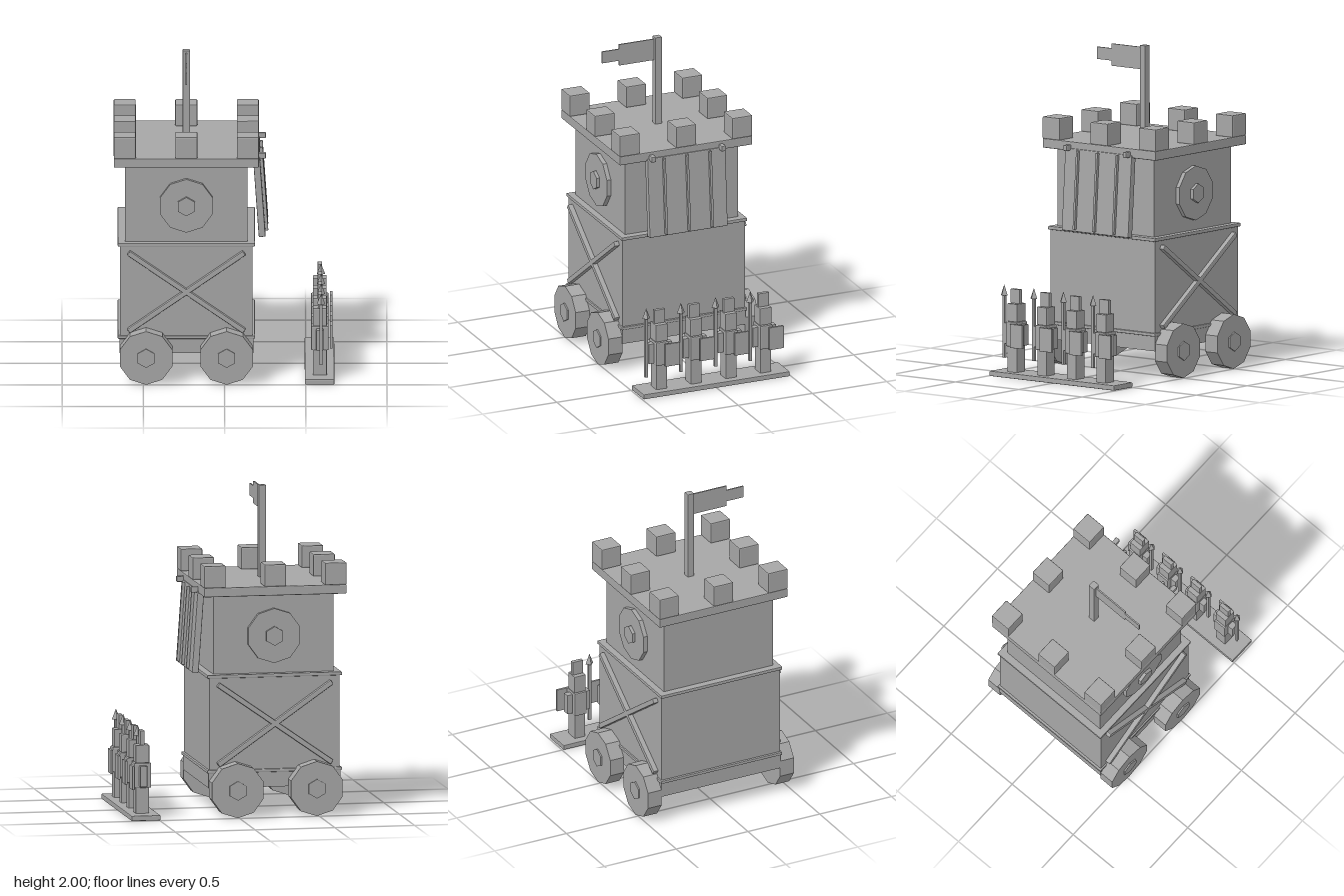
import * as THREE from 'three';
import { RoundedBoxGeometry } from 'three/addons/geometries/RoundedBoxGeometry.js';

const stone = new THREE.MeshStandardMaterial({ color: 0xa6a6a6, flatShading: true });
stone.name = 'plain grey';

const CX = -0.235; // tower axis

function add(parent, name, geometry, x, y, z) {
  const mesh = new THREE.Mesh(geometry, stone);
  mesh.name = name;
  mesh.position.set(x, y, z);
  parent.add(mesh);
  return mesh;
}

// Box given by its size, centre x/z and bottom y; optional chamfer
function box(parent, name, w, h, d, x, y, z, bevel = 0) {
  const g = bevel ? new RoundedBoxGeometry(w, h, d, 1, bevel) : new THREE.BoxGeometry(w, h, d);
  return add(parent, name, g, x, y + h / 2, z);
}

// Ten-sided disc with a six-sided hub, facing +z or -z
function disc(parent, name, x, y, side, inner, outer, hubOut) {
  const group = new THREE.Group();
  group.name = name;
  const plate = new THREE.CylinderGeometry(0.17, 0.17, outer - inner, 10).rotateX(Math.PI / 2);
  const hub = new THREE.CylinderGeometry(0.06, 0.06, hubOut - inner, 6).rotateX(Math.PI / 2);
  add(group, name + 'Rim', plate, x, y, side * (inner + outer) / 2);
  add(group, name + 'Hub', hub, x, y, side * (inner + hubOut) / 2);
  parent.add(group);
}

function buildTower() {
  const tower = new THREE.Group();
  tower.name = 'tower';
  box(tower, 'chassis', 0.825, 0.1, 0.83, CX, 0.18, 0);
  box(tower, 'lowerTrim', 0.845, 0.02, 0.845, CX, 0.272, 0, 0.005);
  box(tower, 'lowerBody', 0.815, 0.58, 0.825, CX, 0.285, 0);
  box(tower, 'upperTrim', 0.845, 0.022, 0.845, CX, 0.862, 0, 0.005);
  box(tower, 'upperBody', 0.755, 0.5, 0.762, CX, 0.875, 0);
  box(tower, 'roofSlab', 0.893, 0.058, 0.893, CX, 1.372, 0, 0.006);

  // Merlons round the edge of the roof
  for (const i of [-1, 0, 1]) {
    for (const j of [-1, 0, 1]) {
      if (i || j) box(tower, 'merlon', 0.136, 0.138, 0.136, CX + i * 0.379, 1.428, j * 0.379, 0.007);
    }
  }

  for (const side of [-1, 1]) {
    // Crossed braces
    for (const tilt of [-1, 1]) {
      const brace = box(tower, 'crossBrace', 0.87, 0.032, 0.035, CX, 0.559, side * 0.4275, 0.006);
      brace.rotation.z = tilt * Math.atan2(0.49, 0.7);
    }
    disc(tower, 'wallShield', CX, 1.117, side, 0.375, 0.408, 0.428);
    for (const x of [-0.483, 0.013]) disc(tower, 'wheel', x, 0.173, side, 0.413, 0.508, 0.517);
  }
  return tower;
}

// Leaning drawbridge with battens and hinge pegs
function buildDrawbridge() {
  const bridge = new THREE.Group();
  bridge.name = 'drawbridge';
  const ramp = new THREE.Group();
  ramp.name = 'ramp';
  box(ramp, 'rampBoard', 0.042, 0.51, 0.526, 0, -0.255, 0, 0.006);
  for (const z of [-0.155, 0, 0.155]) box(ramp, 'batten', 0.024, 0.49, 0.016, 0.027, -0.243, z, 0.003);
  ramp.position.set(0.214, 1.133, 0);
  ramp.rotation.z = 0.07;
  bridge.add(ramp);
  for (const z of [-0.235, 0.235]) box(bridge, 'hingePeg', 0.07, 0.036, 0.03, 0.22, 1.375, z, 0.006);
  return bridge;
}

function buildFlag() {
  const flag = new THREE.Group();
  flag.name = 'flag';
  box(flag, 'flagPole', 0.045, 0.575, 0.045, CX, 1.425, -0.003, 0.004);
  box(flag, 'flagCloth', 0.009, 0.138, 0.24, CX, 1.848, 0.135);
  box(flag, 'flagTail', 0.009, 0.076, 0.117, CX, 1.88, 0.3125);
  return flag;
}

// Soldier facing +x, spear in one hand and shield in the other
function buildSoldier() {
  const s = new THREE.Group();
  s.name = 'soldier';
  box(s, 'legs', 0.085, 0.17, 0.074, 0, 0.025, 0, 0.005);
  box(s, 'torso', 0.108, 0.155, 0.085, 0, 0.19, 0, 0.007);
  box(s, 'head', 0.085, 0.112, 0.08, 0, 0.345, 0, 0.005);
  box(s, 'helmetCrest', 0.026, 0.09, 0.072, 0, 0.455, 0, 0.003);
  for (const side of [-1, 1]) box(s, 'arm', 0.045, 0.13, 0.038, 0, 0.2, side * 0.06, 0.004);
  box(s, 'handShield', 0.016, 0.148, 0.097, 0.07, 0.188, -0.058, 0.003);
  box(s, 'spearShaft', 0.018, 0.4, 0.018, 0.007, 0.112, 0.09);
  add(s, 'spearTip', new THREE.ConeGeometry(0.026, 0.066, 4), 0.007, 0.533, 0.09);
  return s;
}

export function createModel() {
  const model = new THREE.Group();
  model.name = 'siegeTower';
  model.add(buildTower(), buildDrawbridge(), buildFlag());

  // Row of soldiers on a stand
  const squad = new THREE.Group();
  squad.name = 'squad';
  box(squad, 'stand', 0.182, 0.032, 0.985, 0.585, 0, 0, 0.005);
  for (let i = 0; i < 4; i++) {
    const soldier = buildSoldier();
    soldier.position.set(0.587, 0, 0.35 - i * 0.2335);
    squad.add(soldier);
  }
  model.add(squad);
  return model;
}
